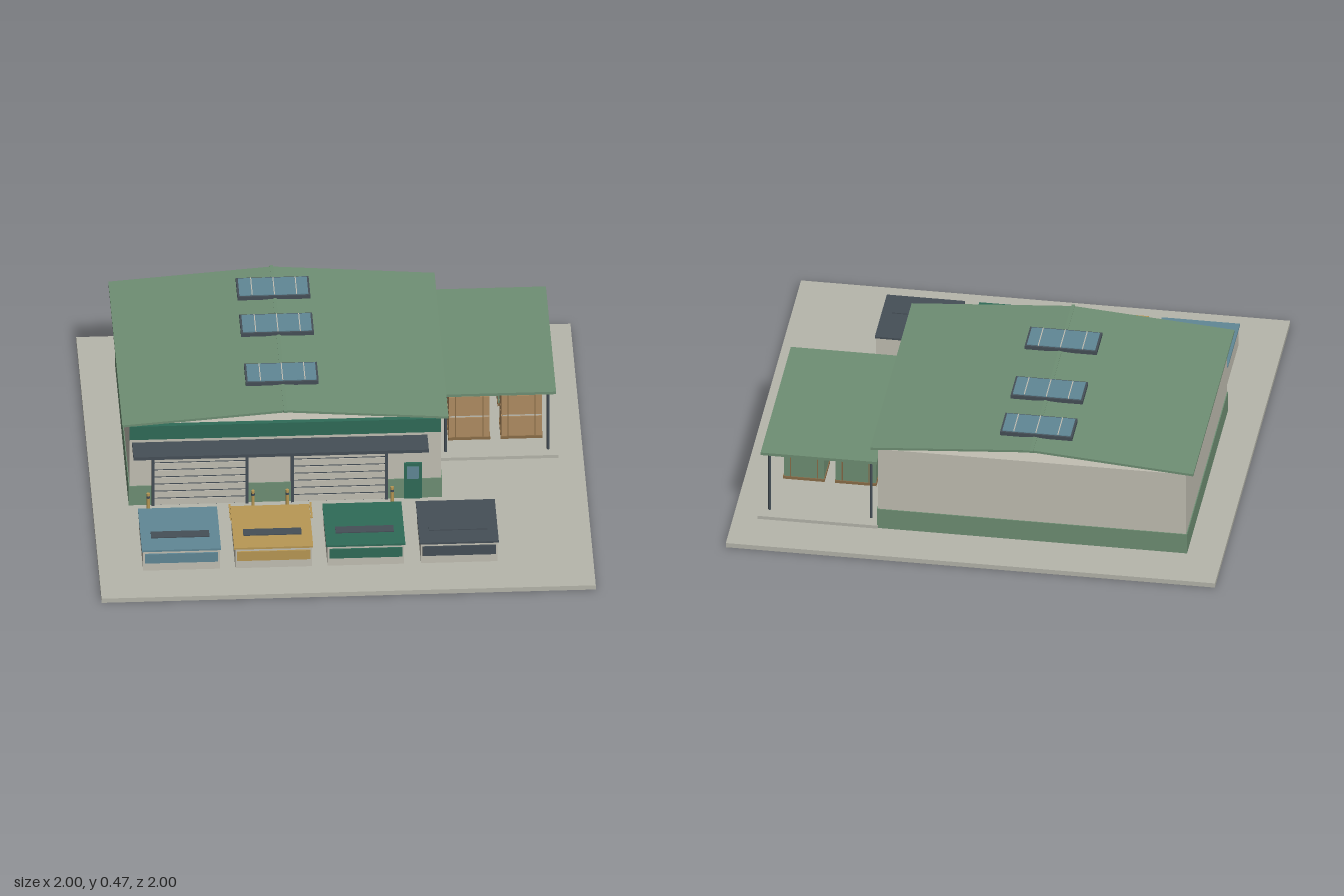
import * as THREE from 'three';

const mat = (name, color) => {
  const m = new THREE.MeshStandardMaterial({ color });
  m.name = name;
  return m;
};

export function createModel() {
  const concrete = mat('concrete', 0xb6b6ab);
  const wall = mat('wall', 0xc2bfb3);
  const sage = mat('sageGreen', 0x6f8f74);
  const green = mat('deepGreen', 0x2f6b58);
  const slate = mat('slate', 0x454f57);
  const blue = mat('glassBlue', 0x608896);
  const gold = mat('ochre', 0xb89854);
  const tan = mat('cardboard', 0xb08d62);
  const wood = mat('palletWood', 0x8a6d48);

  const root = new THREE.Group();
  root.name = 'warehouseDepot';
  const group = (name) => {
    const g = new THREE.Group();
    g.name = name;
    root.add(g);
    return g;
  };
  // Box given by its extents along each axis
  const box = (parent, name, material, x0, x1, y0, y1, z0, z1) => {
    const m = new THREE.Mesh(new THREE.BoxGeometry(x1 - x0, y1 - y0, z1 - z0), material);
    m.position.set((x0 + x1) / 2, (y0 + y1) / 2, (z0 + z1) / 2);
    m.name = name;
    parent.add(m);
    return m;
  };
  const pole = (parent, name, material, x, z, y0, y1, r) => {
    const m = new THREE.Mesh(new THREE.CylinderGeometry(r, r, y1 - y0, 12), material);
    m.position.set(x, (y0 + y1) / 2, z);
    m.name = name;
    parent.add(m);
  };

  // Yard slab
  box(root, 'yardSlab', concrete, -1, 1, 0, 0.02, -1, 1);

  // Main hall
  const hall = group('hall');
  box(hall, 'walls', wall, -0.85, 0.41, 0.02, 0.395, -0.79, 0.29);
  box(hall, 'baseBand', sage, -0.854, 0.414, 0.02, 0.11, -0.794, 0.294);
  box(hall, 'fascia', green, -0.85, 0.41, 0.335, 0.398, 0.28, 0.302);
  box(hall, 'doorCanopy', slate, -0.84, 0.355, 0.302, 0.316, 0.29, 0.405);

  // Gable roof with open ends, extruded along z
  const t = 0.01, ridge = 0.456, eave = 0.405;
  const profile = new THREE.Shape([
    [-0.88, eave], [-0.88, eave - t], [-0.22, ridge - t],
    [0.44, eave - t], [0.44, eave], [-0.22, ridge],
  ].map(([x, y]) => new THREE.Vector2(x, y)));
  const roof = new THREE.Mesh(
    new THREE.ExtrudeGeometry(profile, { depth: 1.1, bevelEnabled: false }), sage);
  roof.position.z = -0.8;
  roof.name = 'gableRoof';
  hall.add(roof);
  box(hall, 'ridgeCap', sage, -0.227, -0.213, 0.448, 0.458, -0.807, 0.307);

  // Skylights
  for (const z of [-0.627, -0.348, 0.028]) {
    const s = group('skylight');
    box(s, 'skylightFrame', slate, -0.37, -0.075, 0.452, 0.468, z - 0.073, z + 0.073);
    box(s, 'skylightGlass', blue, -0.362, -0.083, 0.464, 0.471, z - 0.065, z + 0.065);
    for (const x of [-0.31, -0.22, -0.13])
      box(s, 'skylightBar', wall, x - 0.002, x + 0.002, 0.468, 0.473, z - 0.065, z + 0.065);
  }

  // Roller doors with slats, frames and bollards
  for (const x of [-0.565, -0.002]) {
    const d = group('rollerDoor');
    const w = 0.19, n = 8, h = 0.27 / n;
    box(d, 'doorBacking', slate, x - w, x + w, 0.02, 0.298, 0.285, 0.296);
    for (let i = 0; i < n; i++)
      box(d, 'slat', wall, x - w, x + w, 0.022 + i * h, 0.016 + (i + 1) * h, 0.29, 0.299);
    for (const s of [-1, 1]) {
      box(d, 'doorJamb', slate, x + s * w - 0.006, x + s * w + 0.006, 0.02, 0.3, 0.285, 0.304);
      const bx = x + s * 0.212;
      pole(d, 'bollard', gold, bx, 0.334, 0.02, 0.1, 0.007);
      pole(d, 'bollardBand', slate, bx, 0.334, 0.078, 0.088, 0.0075);
    }
    box(d, 'doorHead', slate, x - w, x + w, 0.29, 0.302, 0.285, 0.304);
  }
  for (const x of [-0.447, -0.12])
    box(root, 'floorStripe', gold, x - 0.004, x + 0.004, 0.02, 0.023, 0.31, 0.43);

  // Staff door
  const door = group('staffDoor');
  box(door, 'doorLeaf', green, 0.26, 0.332, 0.02, 0.187, 0.285, 0.3);
  box(door, 'doorWindow', blue, 0.272, 0.32, 0.115, 0.172, 0.296, 0.303);

  // Side windows
  for (const z of [-0.483, -0.656]) {
    box(hall, 'windowFrame', slate, 0.405, 0.414, 0.223, 0.302, z - 0.06, z + 0.06);
    box(hall, 'windowGlass', blue, 0.409, 0.417, 0.227, 0.298, z - 0.056, z + 0.056);
  }
  box(hall, 'wallCabinet', slate, 0.41, 0.46, 0.06, 0.14, -0.29, -0.258);

  // Side shelter
  const shelter = group('shelter');
  box(shelter, 'shelterPad', concrete, 0.41, 0.9, 0.02, 0.034, -0.8, 0.02);
  box(shelter, 'shelterRoof', sage, 0.415, 0.89, 0.32, 0.332, -0.79, 0.015);
  for (const x of [0.445, 0.86]) for (const z of [-0.03, -0.742])
    pole(shelter, 'shelterPost', slate, x, z, 0.034, 0.322, 0.006);

  // Stacked goods on pallets
  for (const x of [0.545, 0.757]) {
    for (const [z, m] of [[-0.185, tan], [-0.435, sage]]) {
      const p = group('palletStack');
      box(p, 'pallet', wood, x - 0.085, x + 0.085, 0.034, 0.046, z - 0.072, z + 0.072);
      box(p, 'lowerCrate', m, x - 0.082, x + 0.082, 0.046, 0.137, z - 0.068, z + 0.068);
      box(p, 'crateGap', wall, x - 0.078, x + 0.078, 0.137, 0.146, z - 0.064, z + 0.064);
      box(p, 'upperCrate', m, x - 0.082, x + 0.082, 0.146, 0.236, z - 0.068, z + 0.068);
      for (const s of [-0.055, 0.055])
        box(p, 'strap', wood, x + s - 0.002, x + s + 0.002, 0.046, 0.238, z - 0.07, z + 0.07);
    }
  }

  // Sorting containers with coloured lids
  [[-0.666, blue], [-0.293, gold], [0.08, green], [0.458, slate]].forEach(([x, m]) => {
    const c = group('container');
    box(c, 'containerBody', wall, x - 0.155, x + 0.155, 0.02, 0.109, 0.48, 0.795);
    box(c, 'containerLid', m, x - 0.16, x + 0.16, 0.109, 0.117, 0.476, 0.797);
    box(c, 'lidSlot', slate, x - 0.118, x + 0.118, 0.115, 0.121, 0.66, 0.706);
    box(c, 'frontPanel', m, x - 0.148, x + 0.148, 0.057, 0.1, 0.793, 0.801);
  });

  return root;
}
